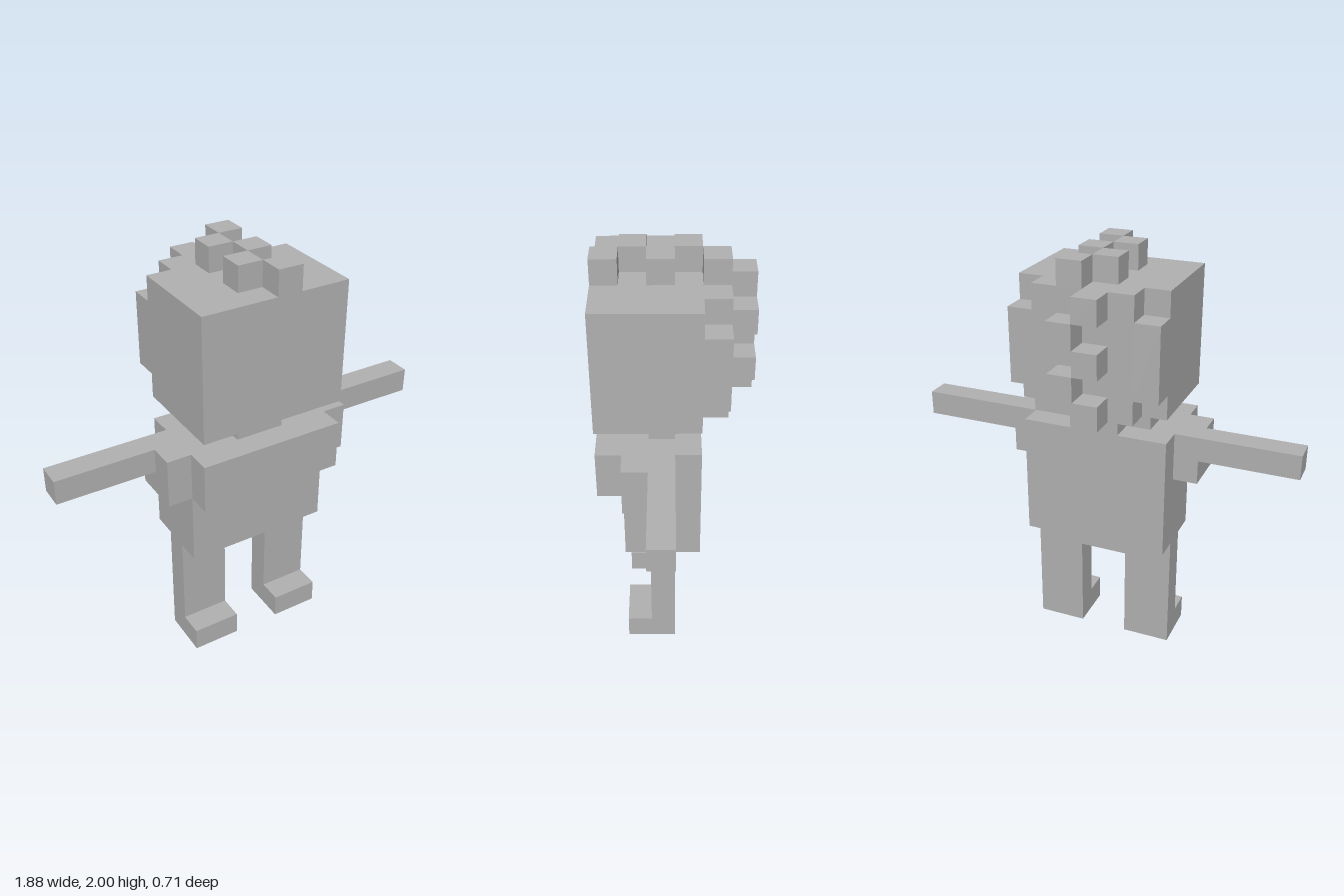
import * as THREE from 'three';

const U = 2 / 17; // edge length of one block

export function createModel() {
  const model = new THREE.Group();
  model.name = 'blockFigure';
  const grey = new THREE.MeshStandardMaterial({ color: 0xb0b0b0 });
  grey.name = 'grey';

  // Box from min to max corner, measured in blocks
  function block(name, [x0, y0, z0], [x1, y1, z1], parent = model) {
    const mesh = new THREE.Mesh(
      new THREE.BoxGeometry((x1 - x0) * U, (y1 - y0) * U, (z1 - z0) * U), grey);
    mesh.position.set((x0 + x1) / 2 * U, (y0 + y1) / 2 * U, (z0 + z1) / 2 * U);
    mesh.name = name;
    parent.add(mesh);
  }

  // The same box on both sides of x = 0
  function pair(name, [x0, y0, z0], [x1, y1, z1]) {
    block('left' + name, [x0, y0, z0], [x1, y1, z1]);
    block('right' + name, [-x1, y0, z0], [-x0, y1, z1]);
  }

  // Legs and feet
  pair('Leg', [1, 0, 0], [3, 5, 1]);
  pair('Foot', [1, 0, 1], [3, 1, 2]);
  block('hips', [-1, 4, 0], [1, 5, 1]);

  // Torso with raised chest
  block('torso', [-3, 5, -1], [3, 10, 2]);
  block('chest', [-3, 8, 2], [3, 10, 3]);

  // Shoulders and outstretched arms
  pair('Shoulder', [3, 8, 0], [4, 10, 2]);
  pair('Arm', [4, 9, 0], [8, 10, 1]);

  // Cross-shaped neck
  block('neck', [-1, 10, -1], [1, 11, 2]);
  pair('NeckSide', [1, 10, 0], [2, 11, 1]);

  // Head, its back layer has the four corners cut out
  block('head', [-3, 11, -1], [3, 16, 3]);
  block('headBack', [-2, 11, -2], [2, 16, -1]);
  pair('HeadBackSide', [2, 12, -2], [3, 15, -1]);

  // Zigzag crest over the top and down the back of the head
  const crest = new THREE.Group();
  crest.name = 'hairCrest';
  model.add(crest);
  for (let i = 0; i < 5; i++) {
    const x = i % 2 ? -1 : 0;
    block('topTuft', [x, 16, 2 - i], [x + 1, 17, 3 - i], crest);
    block('backTuft', [-1 - x, 15 - i, -3], [-x, 16 - i, -2], crest);
  }
  return model;
}
